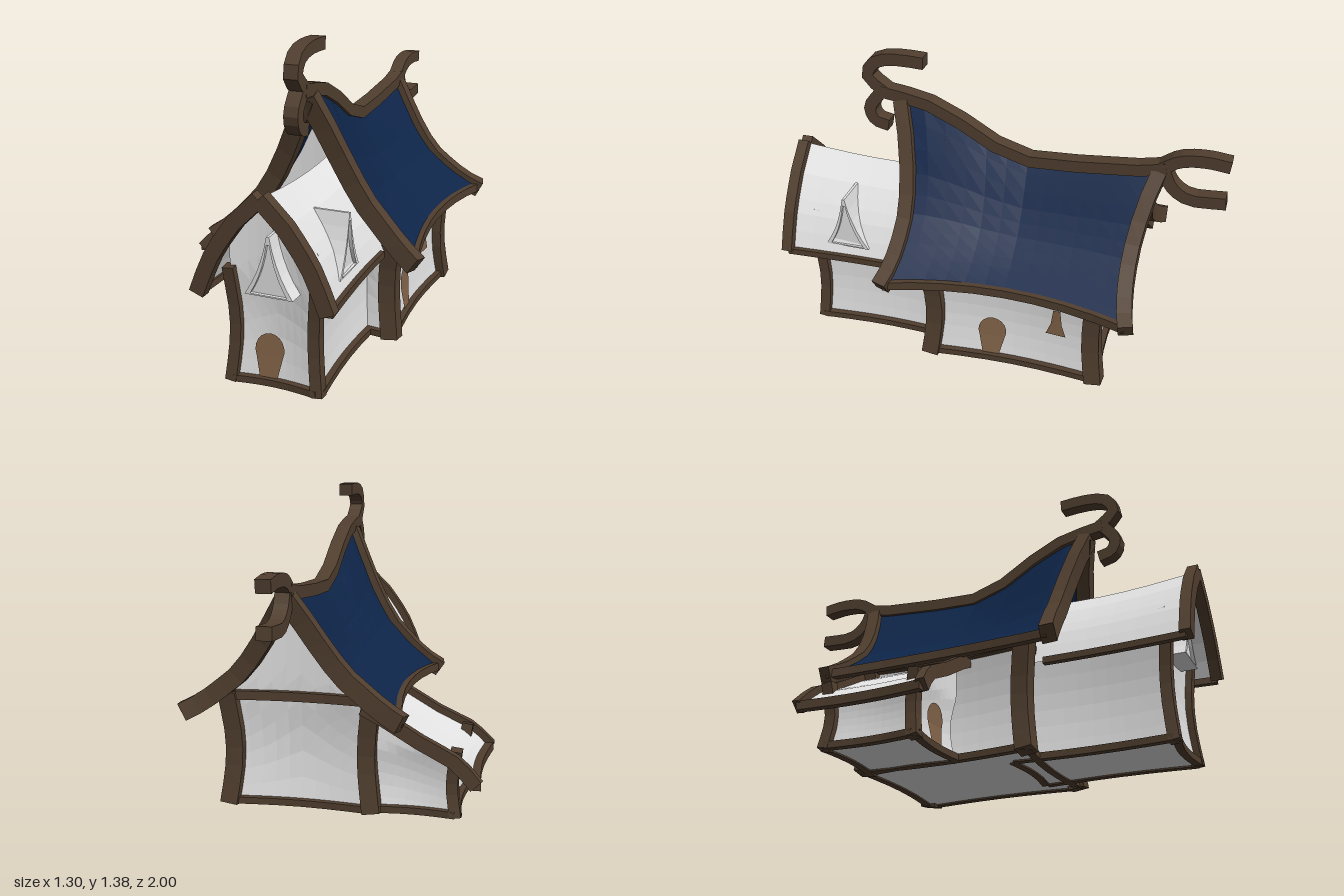
import * as THREE from 'three';

const mat = (name, color) => {
  const m = new THREE.MeshStandardMaterial({ color, flatShading: true, side: THREE.DoubleSide });
  m.name = name;
  return m;
};
const { lerp, clamp } = THREE.MathUtils;
const V = (x, y, z) => new THREE.Vector3(x, y, z);
const bowed = (t) => Math.sin(Math.PI * t);

// Linear interpolation through [key, value] pairs
function table(pairs, k) {
  let i = 1;
  while (i < pairs.length - 1 && k > pairs[i][0]) i++;
  const [a, b] = [pairs[i - 1], pairs[i]];
  return lerp(a[1], b[1], clamp((k - a[0]) / (b[0] - a[0]), 0, 1));
}

// Open surface from a rule fn(u, v) -> Vector3
function grid(fn, nu, nv) {
  const pos = [], idx = [];
  for (let j = 0; j <= nv; j++)
    for (let i = 0; i <= nu; i++) pos.push(...fn(i / nu, j / nv).toArray());
  for (let j = 0; j < nv; j++)
    for (let i = 0; i < nu; i++) {
      const a = j * (nu + 1) + i, c = a + nu + 1;
      idx.push(a, a + 1, c, a + 1, c + 1, c);
    }
  const g = new THREE.BufferGeometry();
  g.setAttribute('position', new THREE.Float32BufferAttribute(pos, 3));
  g.setIndex(idx);
  g.computeVertexNormals();
  return g;
}

// Rectangular timber swept along points: w along ref, h across it
function timber(pts, ref, w, h) {
  const pos = [], idx = [];
  pts.forEach((p, i) => {
    const t = pts[Math.min(i + 1, pts.length - 1)].clone().sub(pts[Math.max(i - 1, 0)]).normalize();
    const n = t.clone().cross(ref).normalize();
    const r = n.clone().cross(t).normalize();
    for (const [a, b] of [[-1, -1], [1, -1], [1, 1], [-1, 1]])
      pos.push(...p.clone().addScaledVector(r, a * w / 2).addScaledVector(n, b * h / 2).toArray());
    if (i) for (let k = 0; k < 4; k++) {
      const a = (i - 1) * 4 + k, b = (i - 1) * 4 + (k + 1) % 4;
      idx.push(a, a + 4, b, b, a + 4, b + 4);
    }
  });
  const e = (pts.length - 1) * 4;
  idx.push(0, 1, 2, 0, 2, 3, e, e + 2, e + 1, e, e + 3, e + 2);
  const g = new THREE.BufferGeometry();
  g.setAttribute('position', new THREE.Float32BufferAttribute(pos, 3));
  g.setIndex(idx);
  g.computeVertexNormals();
  return g;
}
const along = (n, fn) => Array.from({ length: n + 1 }, (_, i) => fn(i / n));

// Main roof rules: t runs ridge to eave, s runs back to front
const CX = 0.155;
const ridgeY = (z) => table([[-0.72, 0.98], [-0.61, 0.97], [-0.34, 0.945], [-0.126, 0.935], [0.035, 0.985],
  [0.195, 1.08], [0.34, 1.145], [0.5, 1.165]], z);
const sweepDown = (t) => table([[0, 1], [0.17, 0.76], [0.33, 0.52], [0.5, 0.33], [0.74, 0.15], [1, 0]], t);
const mainY = (t, z) => lerp(0.495 - 0.025 * ((z + 0.12) / 0.55) ** 2, ridgeY(z), sweepDown(t));
function mainRoof(side, t, s) {
  const q = (1 - 2 * t) ** 2 * (t < 0.5 ? 1 : 0.5);
  const z = lerp(-0.63 - 0.07 * q, 0.39 + 0.08 * q, s);
  return V(CX + side * t * (0.395 + 0.065 * (2 * s - 1) ** 2), mainY(t, z), z);
}

// Wing roof rules
const WX = 0.1725;
const wingProfile = [[0, 0.86], [0.11, 0.75], [0.2, 0.62], [0.245, 0.52], [0.28, 0.43]];
const wingY = (d, s) => 0.43 + (table(wingProfile, d) - 0.43) * (1 - 0.07 * bowed(s));
function wingRoof(side, t, s) {
  const d = 0.28 * t;
  return V(WX + side * d * (1 - 0.06 * bowed(s)), wingY(d, s), lerp(0.05, 0.97, s));
}

// Lean-to roof rules
const shedProfile = [[-0.62, 0.18], [-0.59, 0.215], [-0.53, 0.27], [-0.375, 0.345], [-0.22, 0.435], [-0.13, 0.48]];
function shedRoof(t, s) {
  const x = lerp(-0.13, -0.62, t), flare = 0.035 * t ** 4;
  return V(x + 0.02 * t * bowed(s), table(shedProfile, x), lerp(-0.55 - flare, -0.03 + flare, s));
}

// Building bodies with pinched-in walls
const bodies = {
  main: { x0: -0.165, x1: 0.475, z0: -0.52, z1: 0.265, y0: 0.012, y1: 0.5, bow: 0.025, post: 0.078,
    top: (x, z) => mainY(Math.abs(x - CX) / 0.43, z) - 0.01 },
  wing: { x0: -0.02, x1: 0.365, z0: 0.15, z1: 0.865, y0: 0.012, y1: 0.5, bow: 0.02, post: 0.05,
    top: (x) => wingY(Math.abs(x - WX), 0.8) - 0.005 },
  shed: { x0: -0.525, x1: -0.15, z0: -0.5, z1: -0.075, y0: 0.012, y1: 0.29, bow: 0.018, post: 0.05,
    top: (x) => table(shedProfile, x) - 0.005 },
};
function wallPoint(b, face, u, y, out = 0) {
  const e = b.bow * bowed(clamp((y - b.y0) / (b.y1 - b.y0), 0, 1));
  const inset = e + b.bow * bowed(u) - out;
  const x = lerp(b.x0 + e, b.x1 - e, u), z = lerp(b.z0 + e, b.z1 - e, u);
  if (face === 'front') return V(x, y, b.z1 - inset);
  if (face === 'back') return V(x, y, b.z0 + inset);
  return face === 'left' ? V(b.x1 - inset, y, z) : V(b.x0 + inset, y, z);
}

export function createModel() {
  const model = new THREE.Group();
  const plaster = mat('plaster', 0xe4e4e4), wood = mat('darkTimber', 0x513f2f);
  const blue = mat('blueRoofing', 0x0e2549), door = mat('lightWood', 0x836449);
  const X = V(1, 0, 0), Y = V(0, 1, 0), Z = V(0, 0, 1);
  const add = (name, geo, m) => {
    const mesh = new THREE.Mesh(geo, m);
    mesh.name = name;
    model.add(mesh);
    return mesh;
  };

  // Walls, floors, sills and corner posts
  for (const [name, b] of Object.entries(bodies)) {
    for (const face of ['front', 'back', 'left', 'right']) {
      const ends = face === 'front' || face === 'back';
      add(name + 'Wall', grid((u, w) => {
        const x = ends ? lerp(b.x0, b.x1, u) : face === 'left' ? b.x1 : b.x0;
        const z = ends ? (face === 'front' ? b.z1 : b.z0) : lerp(b.z0, b.z1, u);
        return wallPoint(b, face, u, lerp(b.y0, b.top(x, z), w));
      }, 10, 8), plaster);
      add(name + 'Sill', timber(along(6, (u) => wallPoint(b, face, u, 0.02, 0.008)), Y, 0.03, 0.035), wood);
      if (name === 'main')
        add('wallPlate', timber(along(6, (u) => wallPoint(b, face, u, 0.5, 0.008)), Y, 0.04, 0.04), wood);
    }
    add(name + 'Floor', grid((u, s) => V(lerp(b.x0 + b.bow * bowed(s), b.x1 - b.bow * bowed(s), u), b.y0,
      lerp(b.z0 + b.bow * bowed(u), b.z1 - b.bow * bowed(u), s)), 6, 6), plaster);
    for (const face of ['front', 'back'])
      for (const u of [0, 1]) {
        const buried = (name === 'wing' && face === 'back') || (name === 'shed' && u === 1);
        if (!buried)
          add(name + 'Post', timber(along(6, (w) => wallPoint(b, face, u, lerp(0.005, b.y1 + 0.015, w))),
            X, b.post, b.post), wood);
      }
  }

  // Main and wing roofs with bargeboards and eave boards
  for (const side of [-1, 1]) {
    add('mainRoof', grid((u, v) => mainRoof(side, u, v), 10, 12), blue);
    add('mainEave', timber(along(8, (s) => mainRoof(side, 1, s).add(V(0, -0.015, 0))), Y, 0.04, 0.035), wood);
    for (const s of [0, 1])
      add('mainBargeboard', timber(along(8, (t) => mainRoof(side, t * 1.03, s).add(V(0, -0.02, 0))), Z, 0.065, 0.08), wood);
    add('wingRoof', grid((u, v) => wingRoof(side, u, v), 8, 8), plaster);
    add('wingEave', timber(along(6, (s) => wingRoof(side, 1, lerp(0.3, 1, s))), Y, 0.03, 0.03), wood);
    add('wingBargeboard', timber(along(8, (t) => wingRoof(side, t, 1)), Z, 0.05, 0.065), wood);
  }

  // Lean-to roof and its edging
  add('shedRoof', grid(shedRoof, 10, 8), plaster);
  for (const s of [0, 1])
    add('shedBargeboard', timber(along(10, (t) => shedRoof(t, s)), Z, 0.04, 0.06), wood);
  add('shedEave', timber(along(8, (s) => shedRoof(1, s)), Y, 0.04, 0.035), wood);

  // Ridge beam and the curled finials at both ends
  add('ridgeBeam', timber([[0.56, 1.185], [0.45, 1.17], [0.34, 1.147], [0.195, 1.08], [0.035, 0.985], [-0.126, 0.935],
    [-0.34, 0.945], [-0.61, 0.97], [-0.73, 0.995]].map(([z, y]) => V(CX, y, z)), X, 0.066, 0.055), wood);
  const curls = [
    [[0.54, 1.185], [0.62, 1.255], [0.585, 1.325], [0.48, 1.35], [0.355, 1.347]],
    [[0.56, 1.185], [0.62, 1.1], [0.6, 1.04], [0.535, 1.02]],
    [[-0.71, 0.993], [-0.785, 1.04], [-0.893, 1.055], [-0.997, 1.045]],
    [[-0.72, 0.99], [-0.755, 0.915], [-0.83, 0.862], [-0.995, 0.865]],
  ];
  for (const c of curls) {
    const curve = new THREE.CatmullRomCurve3(c.map(([z, y]) => V(CX, y, z)));
    add('curledFinial', timber(curve.getPoints(8), X, 0.064, 0.056), wood);
  }

  // Thin painted panels laid onto a wall
  const paint = (name, b, face, pts) => {
    const g = new THREE.ShapeGeometry(new THREE.Shape(pts.map(([a, y]) => new THREE.Vector2(a, y))));
    const p = g.attributes.position;
    for (let i = 0; i < p.count; i++) {
      const a = p.getX(i);
      const u = face === 'front' ? (a - b.x0) / (b.x1 - b.x0) : (a - b.z0) / (b.z1 - b.z0);
      const q = wallPoint(b, face, u, p.getY(i), 0.007);
      p.setXYZ(i, q.x, q.y, q.z);
    }
    g.computeVertexNormals();
    add(name, g, door);
  };
  const keyhole = (c) => [[c - 0.04, 0.035], [c + 0.04, 0.035], ...along(12, (t) => {
    const a = lerp(-0.45, Math.PI + 0.45, t);
    return [c + 0.07 * Math.cos(a), 0.158 + 0.07 * Math.sin(a)];
  })];
  paint('wingDoor', bodies.wing, 'front', keyhole(0.137));
  paint('shedDoor', bodies.shed, 'front', keyhole(-0.297));
  paint('sideDoor', bodies.main, 'left', keyhole(-0.02));
  paint('sideWindow', bodies.main, 'left', [[-0.39, 0.2], [-0.29, 0.2], [-0.315, 0.26], [-0.325, 0.34], [-0.36, 0.34], [-0.37, 0.26]]);
  paint('eavePanel', bodies.main, 'left', [[-0.5, 0.415], [-0.13, 0.415], [-0.13, 0.54], [-0.5, 0.54]]);

  // Tent-shaped windows: a frame with a recessed pane
  const tent = (C, w, h) => {
    const s = new C();
    s.moveTo(-w, 0);
    s.lineTo(w, 0);
    s.quadraticCurveTo(w * 0.3, h * 0.42, 0.006, h);
    s.lineTo(-0.006, h);
    s.quadraticCurveTo(-w * 0.3, h * 0.42, -w, 0);
    return s;
  };
  const tentWindow = (name, depth) => {
    const g = new THREE.Group();
    g.name = name;
    const outer = tent(THREE.Shape, 0.105, 0.255);
    const hole = tent(THREE.Path, 0.08, 0.215);
    hole.curves.forEach((c) => ['v0', 'v1', 'v2'].forEach((k) => c[k] && (c[k].y += 0.006)));
    outer.holes.push(hole);
    const opts = { depth, bevelEnabled: false, curveSegments: 5 };
    const frame = new THREE.Mesh(new THREE.ExtrudeGeometry(outer, opts), plaster);
    frame.name = 'windowFrame';
    const pane = new THREE.Mesh(new THREE.ShapeGeometry(tent(THREE.Shape, 0.092, 0.235), 5), plaster);
    pane.name = 'windowPane';
    pane.position.z = depth - 0.015;
    g.add(frame, pane);
    model.add(g);
    return g;
  };
  tentWindow('frontWindow', 0.09).position.set(0.175, 0.43, 0.83);
  const dormer = tentWindow('dormerWindow', 0.2);
  dormer.position.set(0.225, 0.485, 0.68);
  dormer.rotation.y = Math.PI / 2;

  return model;
}
